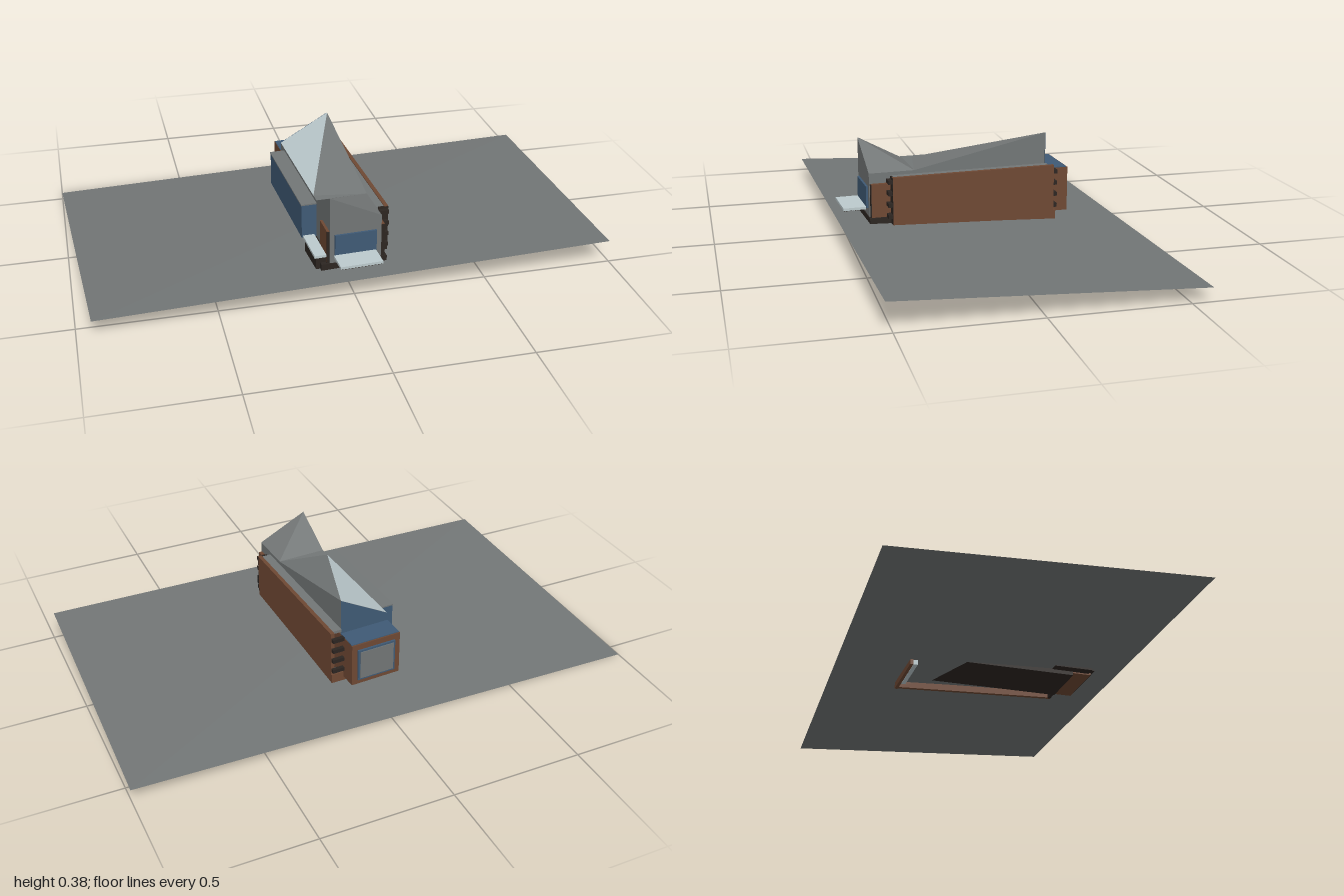
import * as THREE from 'three';

const mat = (name, color) => {
  const m = new THREE.MeshStandardMaterial({ color, side: THREE.DoubleSide });
  m.name = name;
  return m;
};

export function createModel() {
  const grey = mat('grey cladding', 0x727676);
  const pale = mat('pale panel', 0xbccacd);
  const brown = mat('brown timber', 0x6e4833);
  const dark = mat('dark timber', 0x2c2521);
  const glass = mat('blue glass', 0x3f5a75);

  const model = new THREE.Group();
  model.name = 'house';
  // The house stands slightly turned on its plot
  const house = new THREE.Group();
  house.name = 'building';
  house.rotation.y = 0.05;
  model.add(house);

  const add = (parent, name, geo, material) => {
    const m = new THREE.Mesh(geo, material);
    m.name = name;
    parent.add(m);
    return m;
  };
  // Box given by its extents on each axis
  const box = (name, material, [x0, x1], [y0, y1], [z0, z1]) => {
    const g = new THREE.BoxGeometry(x1 - x0, y1 - y0, z1 - z0);
    g.translate((x0 + x1) / 2, (y0 + y1) / 2, (z0 + z1) / 2);
    return add(house, name, g, material);
  };
  // Flat convex panel as a fan, corners anticlockwise from outside
  const panel = (parent, name, material, pts) => {
    const v = [];
    for (let i = 1; i < pts.length - 1; i++) v.push(...pts[0], ...pts[i], ...pts[i + 1]);
    const g = new THREE.BufferGeometry();
    g.setAttribute('position', new THREE.Float32BufferAttribute(v, 3));
    g.computeVertexNormals();
    return add(parent, name, g, material);
  };

  // Sloping plot
  panel(model, 'ground', grey, [
    [-0.945, 0.065, 0.565], [0.985, 0.1, 0.52], [1, 0.05, -0.575], [-1, 0, -0.555],
  ]);

  // Central volume
  const w = 0.098;
  box('body', grey, [-w, w], [0.08, 0.27], [-0.27, 0.43]);

  // Folded main roof rising to the back corner
  const backPeak = [w, 0.38, -0.27], tip = [-w, 0.27, 0.215];
  panel(house, 'paleRoofFold', pale, [backPeak, [-w, 0.27, -0.27], tip]);
  panel(house, 'greyRoofFold', grey, [backPeak, tip, [w, 0.27, 0.255]]);
  panel(house, 'roofSideWall', grey, [[w, 0.27, 0.255], [w, 0.27, -0.27], backPeak]);
  panel(house, 'backGable', glass, [
    [w, 0.235, -0.272], [-w, 0.235, -0.272], [-w, 0.27, -0.272], [w, 0.38, -0.272],
  ]);

  // Folded front roof rising to the opposite corner
  const frontPeak = [-w, 0.365, 0.43], valleyL = [-w, 0.27, 0.255];
  const valleyR = [w, 0.27, 0.255], eave = [w, 0.27, 0.43], foot = [-w, 0.27, 0.43];
  panel(house, 'frontRoofFold', grey, [frontPeak, eave, valleyR]);
  panel(house, 'frontRoofFold', grey, [frontPeak, valleyR, valleyL]);
  panel(house, 'frontGable', grey, [foot, eave, frontPeak]);
  panel(house, 'frontGableSide', grey, [valleyL, foot, frontPeak]);

  // Front window, timber flanks and base
  box('frontWindow', glass, [-0.08, 0.078], [0.13, 0.215], [0.43, 0.438]);
  box('frontFlank', brown, [-0.108, 0.112], [0.06, 0.23], [0.335, 0.424]);
  box('frontFlankEnd', dark, [-0.108, 0.112], [0.062, 0.228], [0.424, 0.427]);
  box('frontBase', dark, [-0.13, 0.12], [0.07, 0.1], [0.35, 0.433]);
  box('underBase', dark, [-0.11, 0.1], [0.05, 0.12], [-0.22, 0.35]);

  // Decks
  box('frontDeck', pale, [-0.085, 0.075], [0.125, 0.135], [0.438, 0.525]);
  for (let i = 0; i < 9; i++) {
    const z = 0.45 + i * 0.0085;
    box('deckJoist', dark, [-0.08, 0.07], [0.122, 0.125], [z, z + 0.004]);
  }
  box('sideDeck', pale, [-0.152, -0.108], [0.122, 0.132], [0.26, 0.42]);
  box('sideDeckSkirt', dark, [-0.145, -0.108], [0.065, 0.122], [0.265, 0.415]);

  // Projecting glazed bay
  box('glassBay', glass, [-0.155, -w], [0.12, 0.255], [-0.215, 0.255]);
  box('bayRoof', grey, [-0.157, -w], [0.255, 0.26], [-0.217, 0.257]);

  // Long timber side wall with a foot that follows the slope
  const profile = new THREE.Shape([
    new THREE.Vector2(0.29, 0.02), new THREE.Vector2(0.29, 0.26),
    new THREE.Vector2(-0.35, 0.26), new THREE.Vector2(-0.35, 0.052),
  ]);
  const wall = new THREE.ExtrudeGeometry(profile, { depth: 0.015, bevelEnabled: false });
  wall.rotateY(Math.PI / 2);
  wall.translate(0.135, 0, 0);
  add(house, 'sideWall', wall, brown);
  box('sideRoof', grey, [w, 0.135], [0.246, 0.257], [-0.275, 0.345]);
  box('wallEndFront', dark, [0.112, 0.15], [0.07, 0.258], [0.344, 0.351]);
  box('wallReturnBack', brown, [-0.1, 0.15], [0.018, 0.08], [-0.298, -0.286]);
  box('wallReturnFront', dark, [-0.09, 0.14], [0.05, 0.09], [0.335, 0.347]);
  box('backFooting', pale, [-0.095, 0.1], [0.02, 0.05], [-0.284, -0.268]);

  // Interlocking timber ends at both ends of the side wall
  for (const y of [0.1, 0.145, 0.19, 0.235]) {
    box('timberEndFront', dark, [0.112, 0.148], [y, y + 0.015], [0.351, 0.367]);
    box('timberEndBack', dark, [0.1, 0.148], [y - 0.01, y + 0.005], [-0.305, -0.29]);
  }

  // Back room with glazed roof and framed window
  box('backRoom', brown, [-0.101, 0.101], [0.06, 0.235], [-0.365, -0.215]);
  box('backSkylight', glass, [-0.1, 0.1], [0.235, 0.238], [-0.36, -0.273]);
  box('backWindowFrame', glass, [-0.078, 0.078], [0.08, 0.212], [-0.372, -0.365]);
  box('backWindow', grey, [-0.07, 0.07], [0.088, 0.204], [-0.375, -0.372]);

  return model;
}
